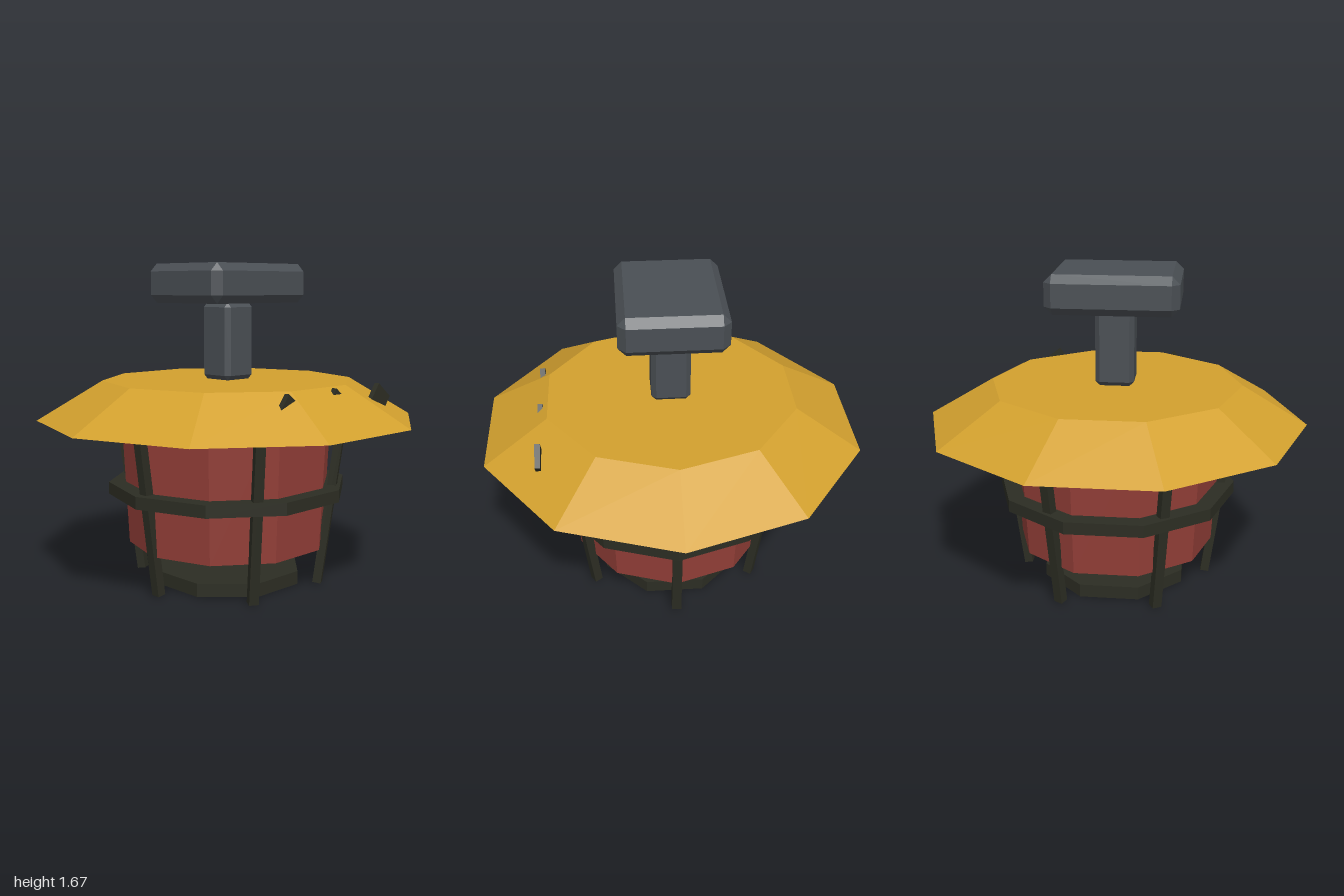
import * as THREE from 'three';
import { ConvexGeometry } from 'three/addons/geometries/ConvexGeometry.js';

const material = (name, color) => {
  const m = new THREE.MeshStandardMaterial({ color, flatShading: true });
  m.name = name;
  return m;
};

// Box with every edge cut at 45 degrees
function chamferedBox(w, h, d, c) {
  const points = [];
  for (const sx of [-1, 1]) for (const sy of [-1, 1]) for (const sz of [-1, 1]) {
    const x = w / 2, y = h / 2, z = d / 2;
    points.push(
      new THREE.Vector3(sx * x, sy * (y - c), sz * (z - c)),
      new THREE.Vector3(sx * (x - c), sy * y, sz * (z - c)),
      new THREE.Vector3(sx * (x - c), sy * (y - c), sz * z));
  }
  return new ConvexGeometry(points);
}

// Faceted drum between two heights; turn sets the first corner's direction
function drum(rTop, rBottom, y0, y1, sides, turn) {
  return new THREE.CylinderGeometry(rTop, rBottom, y1 - y0, sides)
    .rotateY(turn).translate(0, (y0 + y1) / 2, 0);
}

export function createModel() {
  const model = new THREE.Group();
  const yellow = material('roofYellow', 0xd2a02e);
  const red = material('bodyRed', 0x923e37);
  const grey = material('handleGrey', 0x4a4f54);
  const dark = material('frameDark', 0x2c2d23);

  const add = (name, geometry, mat, parent = model) => {
    const mesh = new THREE.Mesh(geometry, mat);
    mesh.name = name;
    parent.add(mesh);
    return mesh;
  };

  // Ten-sided body, brim and band, each with a corner on the x axis
  const quarter = Math.PI / 2;
  add('body', drum(0.568, 0.53, 0.21, 0.98, 10, quarter), red);
  add('brim', drum(0.66, 1, 0.872, 1.075, 10, quarter), yellow);
  add('band', drum(0.635, 0.635, 0.474, 0.538, 10, quarter), dark);

  // Eight-sided foot plate with flat sides on the axes
  add('footPlate', drum(0.4, 0.4, 0, 0.07, 8, Math.PI / 8), dark);

  // Six bars leaning outward around the body
  const bars = new THREE.Group();
  bars.name = 'bars';
  model.add(bars);
  for (let i = 0; i < 6; i++) {
    const geometry = new THREE.BoxGeometry(0.045, 0.96, 0.05)
      .rotateZ(-0.133).translate(0.557, 0.481, 0).rotateY(i * Math.PI / 3);
    add('bar', geometry, dark, bars);
  }

  // Tilted slabs stuck through the front of the brim
  for (const x of [-0.288, 0.055, 0.396]) {
    const slab = add('slab', new THREE.BoxGeometry(0.12, 0.2, 0.027), dark);
    slab.position.set(x, 0.956, 0.667);
    slab.rotation.z = -0.65;
  }

  // Plunger: post and handle block
  add('post', chamferedBox(0.2, 0.4, 0.2, 0.024), grey).position.y = 1.277;
  add('handle', chamferedBox(0.667, 0.2, 0.53, 0.04), grey).position.y = 1.575;

  return model;
}
